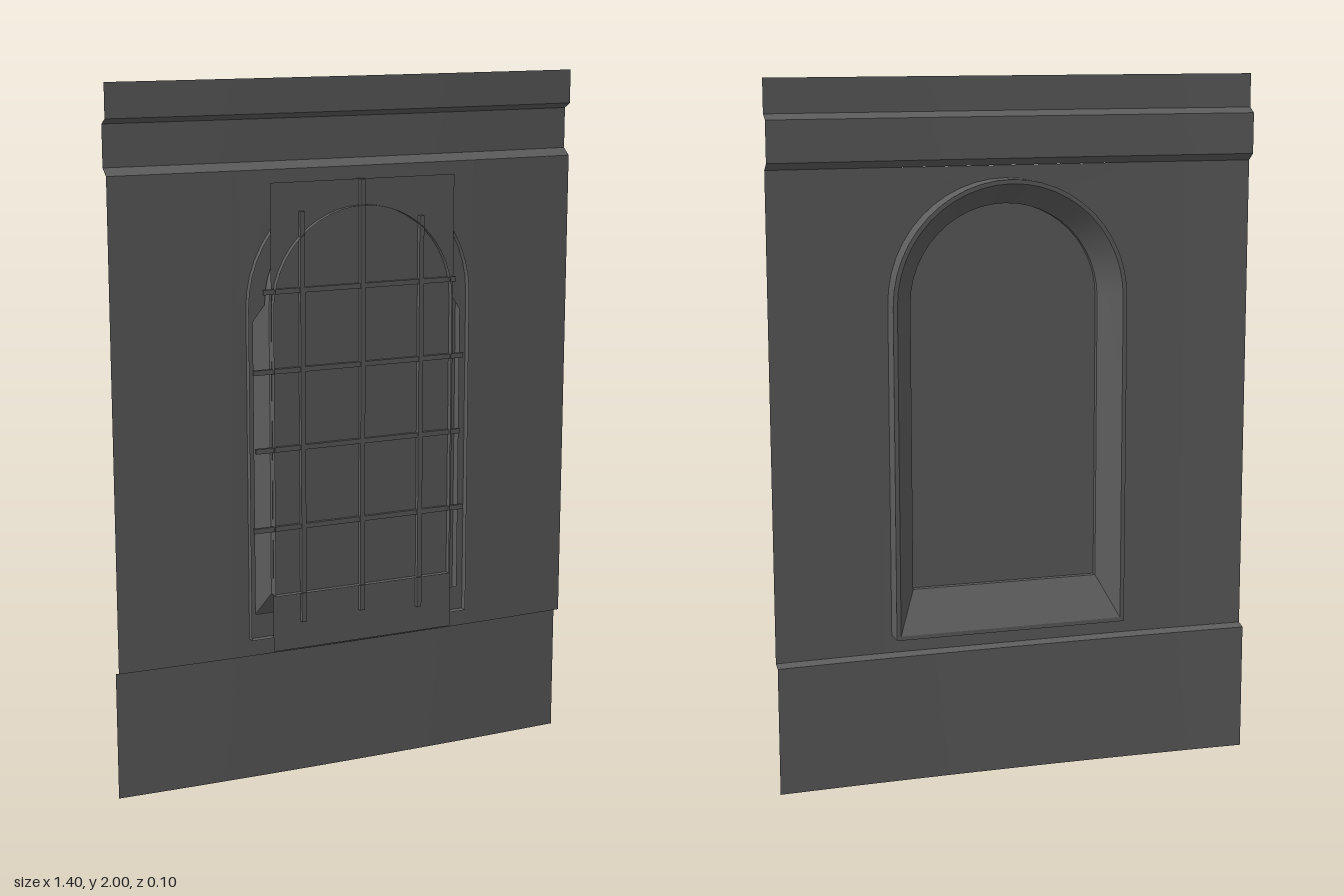
import * as THREE from 'three';
import { toCreasedNormals } from 'three/addons/utils/BufferGeometryUtils.js';

const material = new THREE.MeshStandardMaterial({ color: 0x5e5e5e, side: THREE.DoubleSide });
const HALF = 0.702;    // half width of the wall
const CX = 0.025;      // centre line of the window
const bow = (x) => 0.012 - 0.0255 * x * x; // gentle outward curve of the wall

function add(group, name, geometry) {
  const mesh = new THREE.Mesh(geometry, material);
  mesh.name = name;
  group.add(mesh);
  return mesh;
}

// Curved strip between two heights, each with its own depth offset
function strip(x0, x1, y0, d0, y1, d1) {
  const g = new THREE.PlaneGeometry(1, 1, 12, 1);
  const p = g.attributes.position;
  for (let i = 0; i < p.count; i++) {
    const x = x0 + (x1 - x0) * (p.getX(i) + 0.5);
    const t = p.getY(i) + 0.5;
    p.setXYZ(i, x, y0 + (y1 - y0) * t, bow(x) + d0 + (d1 - d0) * t);
  }
  g.computeVertexNormals();
  return g;
}

// Round-headed outline: half width, sill height, spring height
function arch(w, sill, spring, n = 24) {
  const pts = [new THREE.Vector2(CX - w, sill), new THREE.Vector2(CX + w, sill)];
  for (let i = 0; i <= n; i++) {
    const a = (Math.PI * i) / n;
    pts.push(new THREE.Vector2(CX + w * Math.cos(a), spring + w * Math.sin(a)));
  }
  return pts;
}

// Skin over a series of arch outlines [half width, sill, spring, z]
function archSkin(rows) {
  const pos = [], idx = [];
  let n = 0;
  rows.forEach(([w, sill, spring, z]) => {
    const pts = arch(w, sill, spring);
    n = pts.length;
    pts.forEach((p) => pos.push(p.x, p.y, z));
  });
  for (let r = 0; r < rows.length - 1; r++) {
    for (let i = 0; i < n; i++) {
      const j = (i + 1) % n;
      const a = r * n + i, b = r * n + j, c = a + n, d = b + n;
      idx.push(a, c, b, b, c, d);
    }
  }
  const g = new THREE.BufferGeometry();
  g.setAttribute('position', new THREE.Float32BufferAttribute(pos, 3));
  g.setIndex(idx);
  return toCreasedNormals(g, Math.PI / 6);
}

export function createModel() {
  const model = new THREE.Group();
  const wall = new THREE.Group();
  wall.name = 'wall';
  const win = new THREE.Group();
  win.name = 'window';
  model.add(wall, win);

  // Full-width horizontal bands and the ledges between them
  const back = -0.027;
  const bands = [
    ['plinth', 0, back, 0.37, back],
    ['plinthLedge', 0.37, back, 0.378, 0],
    ['corniceSlope', 1.755, 0, 1.775, back],
    ['frieze', 1.775, back, 1.89, back],
    ['friezeLedge', 1.89, back, 1.905, 0],
    ['topBand', 1.905, 0, 2, 0],
  ];
  bands.forEach(([name, ...b]) => add(wall, name, strip(-HALF, HALF, ...b)));

  // Main wall: plain sides and a middle bay pierced by the window opening
  const x0 = CX - 0.36, x1 = CX + 0.36, y0 = 0.378, y1 = 1.755;
  add(wall, 'wallRight', strip(-HALF, x0, y0, 0, y1, 0));
  add(wall, 'wallLeft', strip(x1, HALF, y0, 0, y1, 0));
  const bay = new THREE.Shape([
    new THREE.Vector2(x0, y0), new THREE.Vector2(x1, y0),
    new THREE.Vector2(x1, y1), new THREE.Vector2(x0, y1),
  ]);
  // Opening: wide straight sides, sloping shoulders, narrower round head
  const head = arch(0.285, 0.5, 1.385).slice(2);
  bay.holes.push(new THREE.Path([
    new THREE.Vector2(CX - 0.32, 0.5), new THREE.Vector2(CX + 0.32, 0.5),
    new THREE.Vector2(CX + 0.32, 1.33), ...head, new THREE.Vector2(CX - 0.32, 1.34),
  ]));
  const bayGeo = new THREE.ShapeGeometry(bay);
  const p = bayGeo.attributes.position;
  for (let i = 0; i < p.count; i++) p.setZ(i, bow(p.getX(i)));
  bayGeo.computeVertexNormals();
  add(wall, 'wallMiddle', bayGeo);

  // Frame: outer shell, narrow back rim, splayed reveal and thin front lip
  add(win, 'frame', archSkin([
    [0.34, 0.43, 1.38, 0.03],
    [0.34, 0.43, 1.38, -0.054],
    [0.328, 0.442, 1.38, -0.054],
    [0.274, 0.557, 1.375, 0.015],
    [0.274, 0.557, 1.375, 0.05],
  ]));

  // Two glass panes meeting on the centre line
  const paneZ = 0.032;
  [-1, 1].forEach((s) => {
    const pane = add(win, s < 0 ? 'paneRight' : 'paneLeft', new THREE.PlaneGeometry(0.281, 1.332));
    pane.position.set(0.031 + s * 0.1405, 1.055, paneZ);
  });

  // Grille bars lying on the panes, slightly uneven in length
  const T = 0.007;
  const bar = (name, ax, bx, ay, by, depth) => {
    const m = add(win, name, new THREE.BoxGeometry(bx - ax, by - ay, depth));
    m.position.set((ax + bx) / 2, (ay + by) / 2, paneZ + depth / 2);
  };
  [[-0.16, 0.47, 1.64], [0.023, 0.48, 1.72], [0.205, 0.465, 1.61]].forEach(([x, a, b]) =>
    bar('verticalBar', x - T, x + T, a, b, 0.013));
  [[0.752, -0.31, 0.347], [0.98, -0.302, 0.333], [1.202, -0.308, 0.342], [1.424, -0.276, 0.316]]
    .forEach(([y, a, b]) => bar('horizontalBar', a, b, y - T, y + T, 0.01));

  return model;
}
